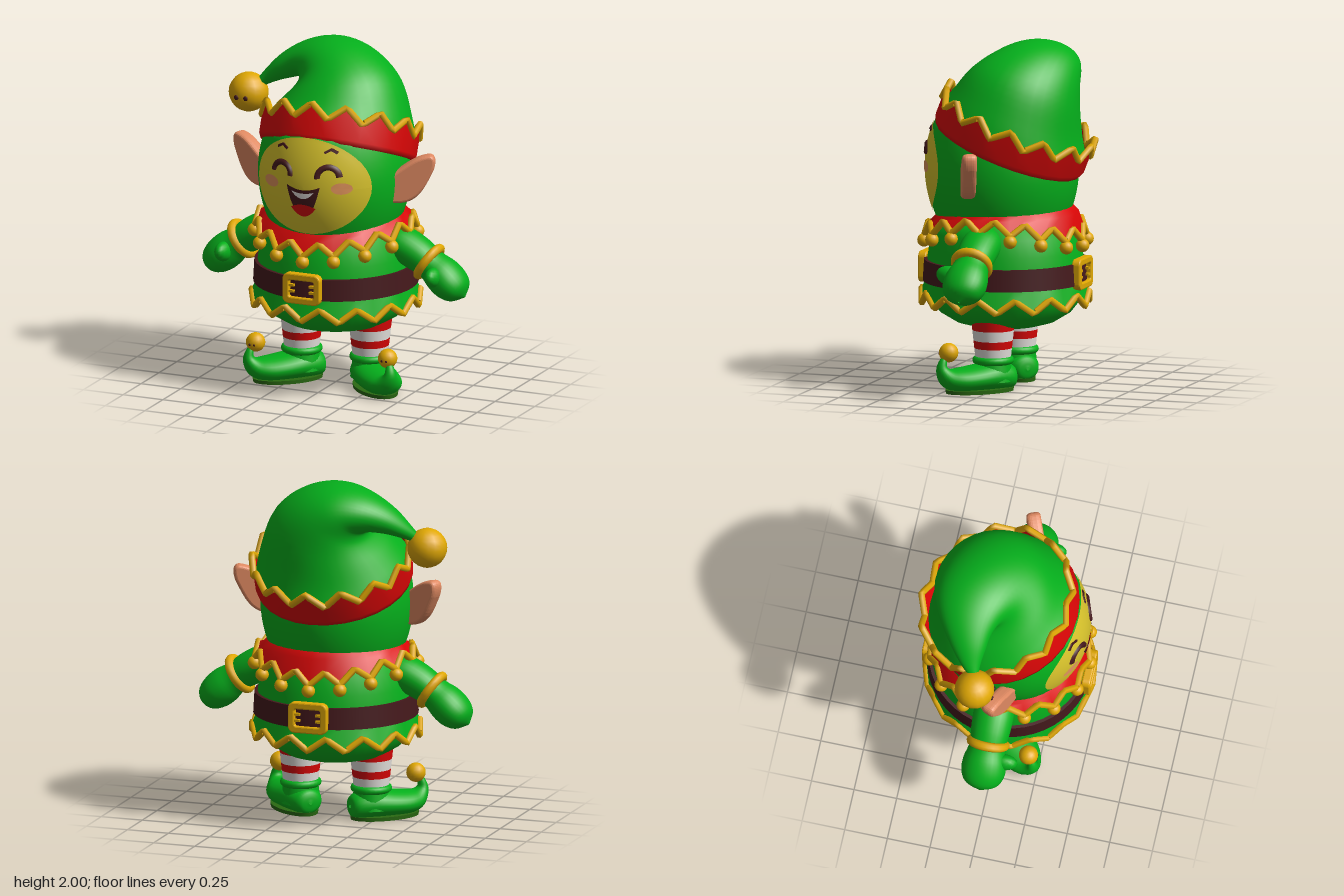
import * as THREE from 'three';

const V = (x, y, z) => new THREE.Vector3(x, y, z);
const X = V(1, 0, 0), Z = V(0, 0, 1);

const mat = (name, color, double) => {
  const m = new THREE.MeshStandardMaterial({ color });
  m.name = name;
  if (double) m.side = THREE.DoubleSide;
  return m;
};

// Closed grid surface: rows of points, each row a loop around the axis
function gridGeometry(rows) {
  const n = rows[0].length, pos = [], idx = [];
  rows.forEach(r => r.forEach(p => pos.push(p.x, p.y, p.z)));
  for (let i = 0; i < rows.length - 1; i++) for (let j = 0; j < n; j++) {
    const a = i * n + j, b = i * n + (j + 1) % n;
    idx.push(a, a + n, b, b, a + n, b + n);
  }
  const g = new THREE.BufferGeometry();
  g.setAttribute('position', new THREE.Float32BufferAttribute(pos, 3));
  g.setIndex(idx);
  g.computeVertexNormals();
  return g;
}

// Smooth loft; each ring is [x, y, z, radiusA, radiusB, lean]; tilt fades out along the length
function loft(rings, tilt = 0, steps = 28, sides = 28) {
  const curve = f => new THREE.CatmullRomCurve3(rings.map(f), false, 'catmullrom', 0.5);
  const centre = curve(r => V(r[0], r[1], r[2])), shape = curve(r => V(r[3], r[4], r[5]));
  const rows = [];
  for (let i = 0; i <= steps; i++) {
    const c = centre.getPoint(i / steps), s = shape.getPoint(i / steps), row = [];
    for (let j = 0; j < sides; j++) {
      const t = j / sides * Math.PI * 2;
      row.push(V(s.x * Math.cos(t), 0, s.y * Math.sin(t))
        .applyAxisAngle(X, tilt * (1 - i / steps)).applyAxisAngle(Z, s.z).add(c));
    }
    rows.push(row);
  }
  return gridGeometry(rows);
}

// Row of a zigzag band: f(angle, tooth 0 or 1) -> [radius, y]
const bandRow = (teeth, f) => Array.from({ length: teeth * 2 }, (_, i) => {
  const t = i / teeth * Math.PI, [r, y] = f(t, 1 - i % 2);
  return V(r * Math.sin(t), y, r * Math.cos(t));
});

// Head radius at a height, and the front surface of the head
const HEAD_Z = 0.018;
const headR = y => 0.44 - 0.72 * (y - 1.27) ** 2;
const headFront = (x, y) => HEAD_Z + Math.sqrt(headR(y) ** 2 - x * x);

export function createModel() {
  const root = new THREE.Group();
  root.name = 'elf';
  const green = mat('green', 0x05b01c, true), red = mat('red', 0xd90606, true);
  const gold = mat('gold', 0xe0a803), brown = mat('darkBrown', 0x45191c);
  const yellow = mat('faceYellow', 0xd9c42c), skin = mat('earSkin', 0xe08a62);
  const white = mat('white', 0xe8e4e0), blush = mat('blush', 0xe2955c);
  const soleGreen = mat('soleGreen', 0x2a6a12);

  const add = (parent, name, geo, m, x = 0, y = 0, z = 0) => {
    const mesh = new THREE.Mesh(geo, m);
    mesh.name = name;
    mesh.position.set(x, y, z);
    parent.add(mesh);
    return mesh;
  };
  const lathe = pts => new THREE.LatheGeometry(pts.map(p => new THREE.Vector2(...p)), 48);
  const band = (parent, name, teeth, m, fns) => {
    const rows = fns.map(f => bandRow(teeth, f));
    add(parent, name, gridGeometry(rows), m);
    const path = new THREE.CatmullRomCurve3(rows.at(-1), true, 'catmullrom', 0);
    add(parent, name + 'Trim', new THREE.TubeGeometry(path, teeth * 12, 0.02, 6, true), gold);
  };
  const bell = (parent, name, r, x, y, z) => {
    const g = new THREE.Group();
    g.name = name;
    g.position.set(x, y, z);
    parent.add(g);
    add(g, name + 'Ball', new THREE.SphereGeometry(r, 16, 12), gold);
    if (r > 0.05) for (const s of [-1, 1]) {
      const hole = add(g, name + 'Hole', new THREE.SphereGeometry(r * 0.13, 8, 6), brown, s * r * 0.25, -r * 0.1, r * 0.95);
      hole.scale.z = 0.5;
    }
  };

  // Tunic, belt, hem
  add(root, 'tunic', lathe([[0, 0.35], [0.2, 0.355], [0.29, 0.38], [0.38, 0.435], [0.43, 0.5], [0.455, 0.6],
    [0.458, 0.68], [0.44, 0.8], [0.42, 0.9], [0.385, 0.97], [0.3, 0.99]]), green);
  add(root, 'belt', new THREE.CylinderGeometry(0.468, 0.475, 0.125, 48), brown, 0, 0.675, 0);
  band(root, 'hem', 14, green, [() => [0.455, 0.625], (t, k) => [0.482, k ? 0.485 : 0.56]]);

  // Buckles, front and back
  const rect = (C, w, h, r) => {
    const s = new C();
    s.absarc(w - r, h - r, r, 0, Math.PI / 2);
    s.absarc(r - w, h - r, r, Math.PI / 2, Math.PI);
    s.absarc(r - w, r - h, r, Math.PI, Math.PI * 1.5);
    s.absarc(w - r, r - h, r, Math.PI * 1.5, Math.PI * 2);
    return s;
  };
  const frame = rect(THREE.Shape, 0.11, 0.082, 0.03);
  frame.holes.push(rect(THREE.Path, 0.086, 0.058, 0.02));
  for (const side of [0, 1]) {
    const buckle = new THREE.Group();
    buckle.name = side ? 'backBuckle' : 'frontBuckle';
    buckle.rotation.y = side * Math.PI;
    root.add(buckle);
    add(buckle, 'buckleFrame', new THREE.ExtrudeGeometry(frame, { depth: 0.035, bevelSize: 0.008, bevelThickness: 0.008, bevelSegments: 2 }),
      gold, 0, 0.677, 0.45);
    for (const s of [-1, 1]) for (const h of [-1, 1])
      add(buckle, 'buckleProng', new THREE.BoxGeometry(0.035, 0.014, 0.03), gold, s * 0.065, 0.677 + h * 0.018, 0.472);
  }

  // Collar with bells, dipping below the chin
  const tipY = t => 0.945 - 0.08 * Math.cos(t) ** 2;
  const dip = t => 0.05 * Math.max(0, Math.cos(t)) ** 2;
  band(root, 'collar', 16, red, [t => [0.385, 1.05 - dip(t)], t => [0.42, 1.015 - dip(t)],
    (t, k) => [k ? 0.465 : 0.445, tipY(t) + (k ? 0 : 0.075)]]);
  bandRow(16, t => [0.468, tipY(t) - 0.03]).forEach((p, i) => { if (i % 2 === 0) bell(root, 'collarBell', 0.039, p.x, p.y, p.z); });

  // Head and face
  const hoodPts = Array.from({ length: 13 }, (_, i) => [headR(0.98 + i * 0.048), 0.98 + i * 0.048]);
  add(root, 'hood', lathe([...hoodPts, [0.3, 1.62], [0.16, 1.68], [0, 1.69]]), green, 0, 0, HEAD_Z);
  const onFace = (name, geo, m, lift, place) => {
    const p = geo.attributes.position;
    for (let i = 0; i < p.count; i++) {
      const [x, y] = place(p.getX(i), p.getY(i));
      p.setXYZ(i, x, y, headFront(x, y) + lift + p.getZ(i));
    }
    geo.computeVertexNormals();
    add(root, name, geo, m);
  };
  onFace('face', new THREE.RingGeometry(0, 1, 48, 14), yellow, 0.007, (x, y) => [x * 0.355, 1.275 + y * 0.285]);

  // Open mouth with teeth and tongue: plates between an upper and a lower curve
  const plate = (name, m, lift, width, top, low) => onFace(name, new THREE.PlaneGeometry(2, 1, 24, 6), m, lift,
    (u, v) => [u * width, THREE.MathUtils.lerp(low(u), top(u), v + 0.5)]);
  plate('mouth', brown, 0.012, 0.103, u => 1.264 + 0.024 * u * u, u => 1.115 + 0.17 * Math.abs(u) ** 2.6);
  plate('teeth', white, 0.015, 0.068, u => 1.245 + 0.01 * u * u, u => 1.212 + 0.04 * u * u);
  plate('tongue', red, 0.015, 0.076, u => 1.177 - 0.02 * u * u, u => 1.104 + 0.053 * u * u);

  // Smiling eyes, brows, cheeks
  for (const s of [-1, 1]) {
    const at = (cx, cy, sx = 1, sy = 1) => (x, y) => [s * cx + x * sx, cy + y * sy];
    onFace('eye', new THREE.TorusGeometry(0.061, 0.019, 8, 20, Math.PI).rotateZ(s * 0.1), brown, 0.002, at(0.145, 1.345));
    for (const k of [0, 1])
      onFace('brow', new THREE.BoxGeometry(0.042, 0.014, 0.012).rotateZ(s * (k ? -0.5 : 0.5)), brown, 0.008, at(0.135 + k * 0.034, 1.497));
    onFace('cheek', new THREE.CircleGeometry(1, 24), blush, 0.012, at(0.22, 1.282, 0.055, 0.034));
  }

  // Hat: drooping cone with a tilted zigzag brim
  add(root, 'hat', loft([
    [0, 1.473, -0.052, 0.45, 0.45, 0], [0, 1.58, -0.075, 0.41, 0.395, 0.1], [-0.01, 1.72, -0.12, 0.34, 0.335, 0.3],
    [-0.07, 1.82, -0.17, 0.24, 0.27, 0.6], [-0.17, 1.865, -0.2, 0.16, 0.215, 1], [-0.28, 1.85, -0.2, 0.11, 0.165, 1.45],
    [-0.385, 1.8, -0.17, 0.075, 0.115, 1.9], [-0.47, 1.74, -0.135, 0.045, 0.065, 2.2], [-0.54, 1.68, -0.09, 0.02, 0.02, 2.4]],
  -0.4, 40, 36), green);
  const brim = new THREE.Group();
  brim.name = 'hatBrim';
  brim.position.set(0, 1.38, -0.015);
  brim.rotation.x = -0.38;
  root.add(brim);
  band(brim, 'brim', 14, red, [() => [0.405, 0.005], () => [0.445, 0], () => [0.457, 0.03], (t, k) => [0.457, k ? 0.215 : 0.13]]);
  bell(root, 'hatBell', 0.115, -0.585, 1.64, -0.08);

  // Mirrored parts: ears, arms, legs, shoes
  const earShape = new THREE.Shape();
  earShape.moveTo(0, -0.09);
  earShape.bezierCurveTo(0.13, -0.1, 0.16, -0.02, 0.215, 0.09);
  earShape.bezierCurveTo(0.23, 0.13, 0.23, 0.165, 0.205, 0.16);
  earShape.bezierCurveTo(0.13, 0.15, 0.08, 0.1, 0, 0.05);
  const stripes = [[0.44, 0.355, red], [0.355, 0.295, white], [0.295, 0.25, red], [0.25, 0.17, white]];
  for (const s of [1, -1]) {
    const half = new THREE.Group();
    half.name = s > 0 ? 'leftParts' : 'rightParts';
    half.scale.x = s;
    root.add(half);

    const ear = add(half, 'ear', new THREE.ExtrudeGeometry(earShape, { depth: 0.025, bevelSize: 0.018, bevelThickness: 0.028, bevelSegments: 4 }),
      skin, 0.395, 1.25, 0.08);
    ear.rotation.y = 0.4;

    add(half, 'arm', loft([
      [0.28, 0.91, 0, 0.075, 0.085, -2], [0.4, 0.88, 0, 0.1, 0.115, -2.05], [0.51, 0.828, 0, 0.1, 0.114, -2.12],
      [0.6, 0.77, 0, 0.09, 0.105, -2.18], [0.67, 0.715, 0, 0.105, 0.125, -2.2], [0.73, 0.665, 0, 0.1, 0.125, -2.25],
      [0.78, 0.625, 0, 0.07, 0.09, -2.25], [0.81, 0.6, 0, 0.005, 0.005, -2.25]]), green);
    const cuff = add(half, 'cuff', new THREE.TorusGeometry(0.098, 0.027, 10, 28), gold, 0.585, 0.785, 0);
    cuff.quaternion.setFromUnitVectors(Z, V(0.83, -0.56, 0).normalize());
    const thumb = add(half, 'thumb', new THREE.SphereGeometry(1, 16, 12), green, 0.66, 0.725, 0.1);
    thumb.scale.set(0.046, 0.058, 0.09);
    thumb.rotation.x = -0.2;

    const legR = y => 0.1 + (y - 0.17) * 0.11;
    for (const [top, low, m] of stripes)
      add(half, 'stocking', new THREE.CylinderGeometry(legR(top), legR(low), top - low, 28), m, 0.215, (top + low) / 2, 0);

    // Curled shoe, toe pointing outwards
    const shoe = new THREE.Group();
    shoe.name = 'shoe';
    shoe.position.x = 0.215;
    shoe.rotation.y = -Math.PI / 4;
    half.add(shoe);
    const d = -Math.PI / 2;
    add(shoe, 'upper', loft([
      [-0.135, 0.08, 0, 0.01, 0.01, d], [-0.115, 0.08, 0, 0.066, 0.075, d], [0, 0.09, 0, 0.084, 0.117, d],
      [0.12, 0.082, 0, 0.076, 0.123, d], [0.22, 0.077, 0, 0.069, 0.11, d], [0.29, 0.092, 0, 0.056, 0.08, -1.15],
      [0.325, 0.145, 0, 0.034, 0.04, -0.3], [0.318, 0.19, 0, 0.022, 0.025, 0.3], [0.3, 0.22, 0, 0.012, 0.012, 0.6]]), green);
    add(shoe, 'ankle', new THREE.CylinderGeometry(0.1, 0.115, 0.12, 28), green, 0, 0.12, 0);
    const rim = add(shoe, 'shoeCuff', new THREE.TorusGeometry(0.097, 0.023, 10, 28), green, 0, 0.18, 0);
    rim.rotation.x = Math.PI / 2;
    const sole = add(shoe, 'sole', new THREE.CylinderGeometry(1, 0.98, 0.022, 32), soleGreen, 0.085, 0.011, 0);
    sole.scale.set(0.212, 1, 0.116);
    bell(half, 'shoeBell', 0.056, 0.415, 0.24, 0.2);
  }
  return root;
}
